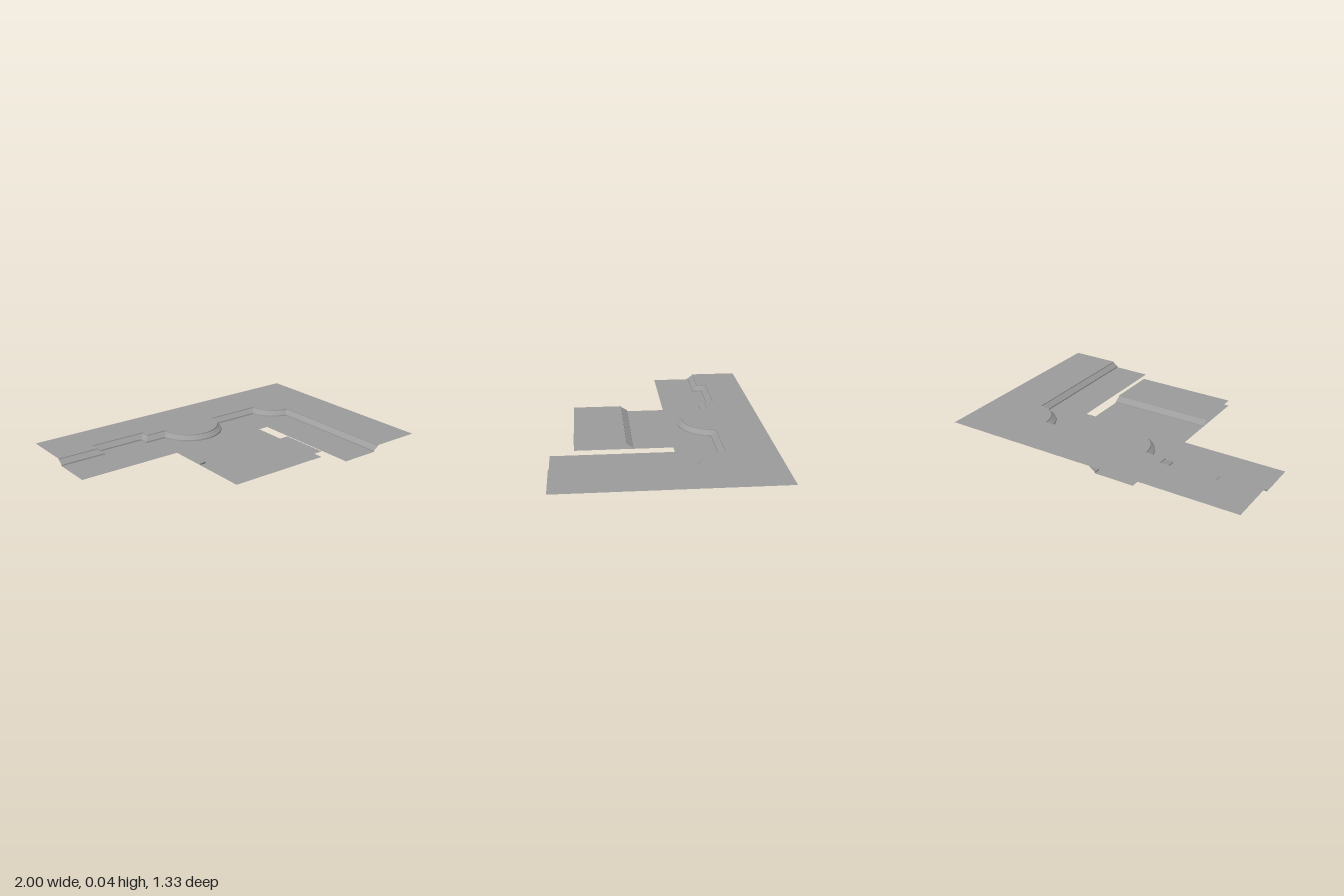
import * as THREE from 'three';

const TOP = 0.037, BACK = -0.667, FRONT = 0.667;
const LEFT = -0.335, RIGHT = 0.33;
const material = new THREE.MeshStandardMaterial({ color: 0x9c9c9c, flatShading: true, side: THREE.DoubleSide });

// Kerb section: [fraction outward, height]; a slope between two small lips
const section = [[0, TOP], [0.04, 0.031], [0.96, 0.008], [1, 0]];
const KERB = 0.035;

// Points on an arc in plan, from angle a to angle b
function arc(cx, cz, r, a, b, n) {
  return Array.from({ length: n + 1 }, (_, i) => {
    const t = a + (b - a) * i / n;
    return [cx + r * Math.cos(t), cz + r * Math.sin(t)];
  });
}

// Plan line of the main kerb, pushed outward by o
function kerbLine(o) {
  const z = -0.36 + o, r = 0.168 + o * 0.9, a = Math.asin(o / r);
  return [
    [-1, z], [-0.735 + o, z], [-0.735 + o, z - 0.06], [-0.365 - o, z - 0.06], [-0.365 - o, z],
    ...arc(0.68, -0.36, r, Math.PI - a, Math.PI / 2 + a, 10),
    [0.68 - o, FRONT],
  ];
}

// Plan line of the round corner: in from the back edge, then three quarters of a circle
const ROUND = { x: -0.042, z: -0.36, r: 0.19 };
function roundLine(o, endAngle) {
  const r = ROUND.r + o * 0.8, a = Math.asin(o / r);
  return [
    [ROUND.x - o, BACK],
    ...arc(ROUND.x, ROUND.z, r, Math.PI * 1.5 - a, endAngle + a, 30),
  ];
}

function addMesh(group, name, geometry) {
  const mesh = new THREE.Mesh(geometry, material);
  mesh.name = name;
  group.add(mesh);
}

// Horizontal sheet from plan points [x, z]
function sheet(points, y) {
  const shape = new THREE.Shape(points.map(([x, z]) => new THREE.Vector2(x, -z)));
  return new THREE.ShapeGeometry(shape).rotateX(-Math.PI / 2).translate(0, y, 0);
}

// Sloped strip swept along plan lines, one per section point
function strip(lineAt) {
  const positions = [], index = [];
  const rows = section.map(([f, y]) => lineAt(f).map(([x, z]) => [x, y, z]));
  const n = rows[0].length;
  rows.forEach((row) => row.forEach((p) => positions.push(...p)));
  for (let j = 0; j < rows.length - 1; j++) {
    for (let i = 0; i < n - 1; i++) {
      const a = j * n + i, c = a + n;
      index.push(a, c, a + 1, a + 1, c, c + 1);
    }
  }
  const g = new THREE.BufferGeometry();
  g.setAttribute('position', new THREE.Float32BufferAttribute(positions, 3));
  g.setIndex(index);
  const flat = g.toNonIndexed();
  flat.computeVertexNormals();
  return flat;
}

export function createModel() {
  const group = new THREE.Group();
  group.name = 'terracedGround';

  // Raised ground behind and beside the kerb
  addMesh(group, 'upperGround', sheet([...kerbLine(0), [1, FRONT], [1, BACK], [-1, BACK]], TOP));

  // Main kerb with its square recess and hollow corner
  addMesh(group, 'kerb', strip((f) => kerbLine(f * KERB)));

  // Low ground in front of the kerb, with the projecting bay
  addMesh(group, 'lowerGround', sheet([
    ...kerbLine(KERB), [0.4, FRONT], [0.4, -0.073], [RIGHT, -0.073],
    [RIGHT, 0.525], [LEFT, 0.525], [LEFT, -0.073], [-1, -0.073],
  ], 0));

  // Round corner: half-disc top, kerb, and the low ground beside it under the raised sheet
  addMesh(group, 'roundCornerTop', sheet(arc(ROUND.x, ROUND.z, ROUND.r, 0, Math.PI, 20), TOP));
  addMesh(group, 'roundCornerKerb', strip((f) => roundLine(f * KERB, 0)));
  addMesh(group, 'roundCornerLowGround', sheet([
    ...roundLine(KERB, Math.PI * 0.9), [LEFT, -0.325], [LEFT, BACK],
  ], 0));

  // Raised platform over the front of the bay and its rear slope
  addMesh(group, 'bayPlatform', sheet([[LEFT, 0.21], [RIGHT, 0.21], [RIGHT, 0.525], [LEFT, 0.525]], TOP));
  addMesh(group, 'baySlope', strip((f) => [[RIGHT, 0.21 - 0.042 * f], [LEFT, 0.21 - 0.042 * f]]));

  return group;
}
